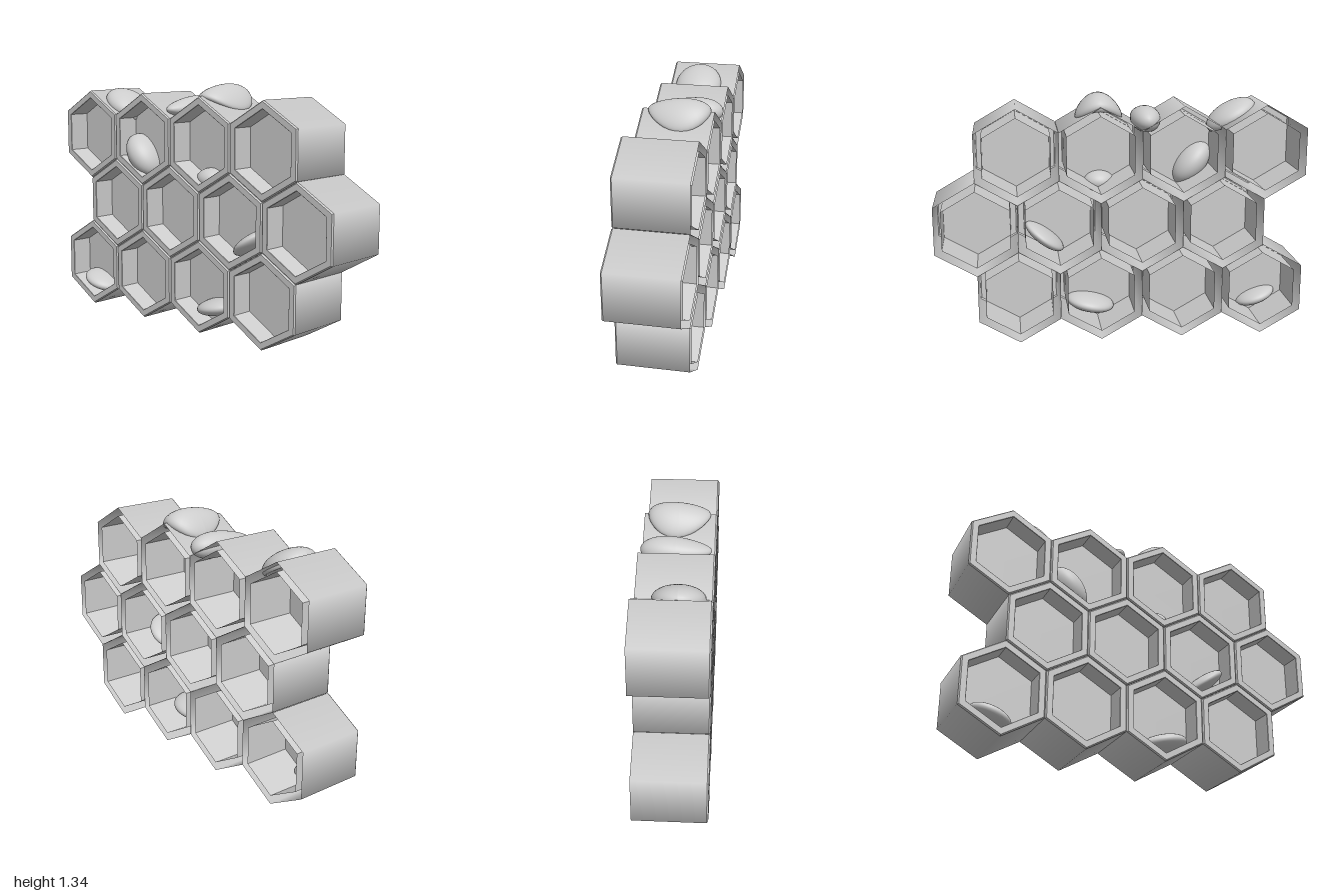
import * as THREE from 'three';
import { mergeGeometries } from 'three/addons/utils/BufferGeometryUtils.js';

const PITCH = 4 / 9;                 // flat-to-flat width of one cell
const R = PITCH / Math.sqrt(3);      // outer corner radius
const RI = R - 0.045;                // inner corner radius
const FRONT = 0.19, BACK = -0.195, PANEL = 0.07;

const grey = new THREE.MeshStandardMaterial({ color: 0xcccccc, side: THREE.DoubleSide });

// Six-sided shell: bevelled rim in front, open behind.
function cellGeometry() {
  const edge = R - 0.001;            // hairline gap between neighbours
  const profile = [
    [edge, BACK], [edge, FRONT - 0.008], [R - 0.008, FRONT],
    [RI + 0.002, FRONT], [RI, FRONT - 0.002], [RI - 0.003, BACK],
  ].map(([r, z]) => new THREE.Vector2(r, z));
  const bands = [];
  for (let i = 0; i < profile.length - 1; i++) {
    const band = new THREE.LatheGeometry([profile[i], profile[i + 1]], 6).toNonIndexed();
    if (i > 0) band.computeVertexNormals(); // outer wall stays smooth, the rest is faceted
    bands.push(band);
  }
  return mergeGeometries(bands).rotateX(Math.PI / 2);
}

// Rounded drop: taper narrows it to the front, base flattens it below that depth,
// sag bends its sides down over a ridge.
function drop({ name, at, size, turn = 0, taper = 0, base = 1, sag = 0 }) {
  const geo = new THREE.SphereGeometry(1, 32, 24);
  geo.scale(...size);
  const p = geo.attributes.position;
  for (let i = 0; i < p.count; i++) {
    const k = 1 - taper * (p.getZ(i) / size[2] + 0.4);
    const x = p.getX(i) * (1 + k) / 2;
    p.setXY(i, x, Math.max(p.getY(i) * k, -base) - sag * x * x);
  }
  geo.computeVertexNormals();
  const mesh = new THREE.Mesh(geo, grey);
  mesh.name = name;
  mesh.position.set(...at);
  mesh.rotation.z = turn;
  return mesh;
}

export function createModel() {
  const model = new THREE.Group();
  model.name = 'honeycomb';

  // Three staggered rows of four cells, each with a thin inner panel
  const shell = cellGeometry();
  const panel = new THREE.CircleGeometry(RI, 6, Math.PI / 2);
  for (let row = 0; row < 3; row++) {
    for (let col = 0; col < 4; col++) {
      const cell = new THREE.Group();
      cell.name = `cell${row + 1}_${col + 1}`;
      const wall = new THREE.Mesh(shell, grey);
      wall.name = 'cellWall';
      const floor = new THREE.Mesh(panel, grey);
      floor.name = 'cellPanel';
      floor.position.z = PANEL;
      cell.add(wall, floor);
      const shift = row === 1 ? PITCH / 4 : -PITCH / 4;
      cell.position.set((col - 1.5) * PITCH + shift, R + row * R * 1.5, 0);
      model.add(cell);
    }
  }

  // Honey drops resting on the top edge and inside some cells
  const drops = [
    { name: 'topDropRight', at: [-0.625, 1.197, 0.025], size: [0.147, 0.071, 0.132], turn: -Math.PI / 6, base: 0.02 },
    { name: 'topDropMiddle', at: [-0.142, 1.2, -0.015], size: [0.084, 0.074, 0.185], taper: 0.3, base: 0.06 },
    { name: 'topDropLeft', at: [0.11, 1.28, -0.01], size: [0.132, 0.066, 0.166], taper: 0.2, base: 0.025, sag: 4 },
    { name: 'upperCellDrop', at: [-0.42, 0.925, 0.085], size: [0.138, 0.08, 0.11], turn: -0.9 },
    { name: 'smallCellDrop', at: [0.1, 0.835, 0.075], size: [0.085, 0.06, 0.08] },
    { name: 'middleCellDrop', at: [0.407, 0.53, 0.06], size: [0.128, 0.042, 0.135], turn: 0.65 },
    { name: 'lowerCellDropRight', at: [-0.81, 0.127, 0.085], size: [0.118, 0.044, 0.11], turn: -0.35 },
    { name: 'lowerCellDropLeft', at: [0.155, 0.135, 0.055], size: [0.137, 0.05, 0.135], turn: 0.2 },
  ];
  drops.forEach((d) => model.add(drop(d)));

  return model;
}
